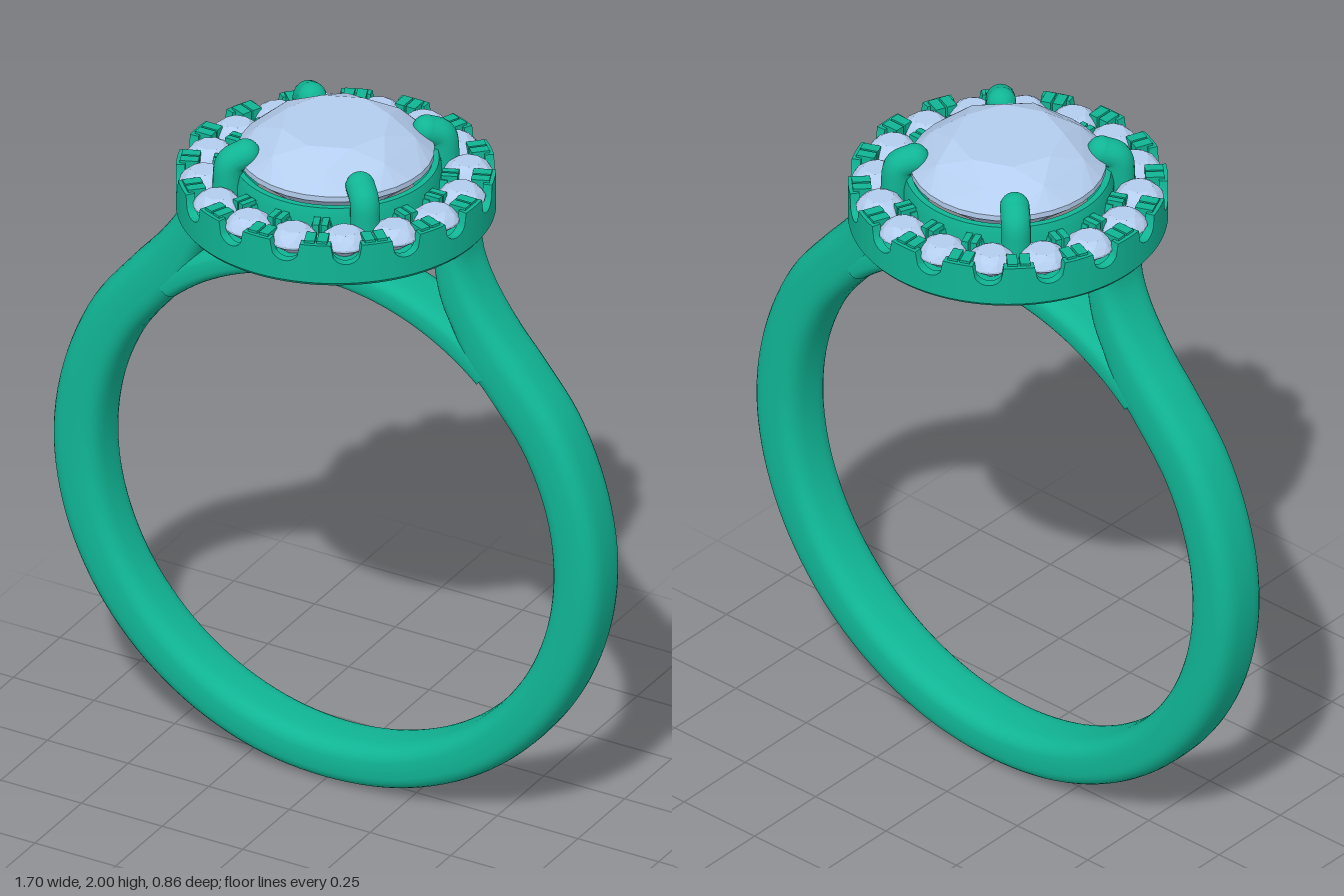
import * as THREE from 'three';
import { toCreasedNormals } from 'three/addons/utils/BufferGeometryUtils.js';
import { ConvexGeometry } from 'three/addons/geometries/ConvexGeometry.js';

const TAU = Math.PI * 2;
const COUNT = 16;                 // halo stones
const STEP = TAU / COUNT;
const CY = 0.83, RI = 0.70;       // finger hole centre height and radius

const metal = new THREE.MeshStandardMaterial({ color: 0x10b595, side: THREE.DoubleSide });
const gem = new THREE.MeshStandardMaterial({ color: 0xb4cdee, flatShading: true });

function add(parent, name, geometry, material = metal) {
  const mesh = new THREE.Mesh(geometry, material);
  mesh.name = name;
  parent.add(mesh);
  return mesh;
}

// Skin a list of equal-length closed cross-sections
function loft(rings, crease) {
  const n = rings[0].length, index = [];
  for (let i = 0; i < rings.length - 1; i++) {
    for (let j = 0; j < n; j++) {
      const k = (j + 1) % n, a = i * n, b = a + n;
      index.push(a + j, b + j, b + k, a + j, b + k, a + k);
    }
  }
  const g = new THREE.BufferGeometry().setFromPoints(rings.flat());
  g.setIndex(index);
  g.computeVertexNormals();
  return crease ? toCreasedNormals(g, crease) : g;
}

// Softly squared section between an inner and an outer edge point
function section(inner, outer, halfWidth, sides = 32) {
  const soft = v => Math.sign(v) * Math.abs(v) ** 0.65;
  return Array.from({ length: sides }, (_, j) => {
    const a = j / sides * TAU, u = 0.5 + 0.5 * soft(Math.cos(a));
    return new THREE.Vector3(
      inner.x + (outer.x - inner.x) * u,
      inner.y + (outer.y - inner.y) * u,
      halfWidth * soft(Math.sin(a)));
  });
}

const polar = (r, deg) => {
  const a = THREE.MathUtils.degToRad(deg);
  return new THREE.Vector3(r * Math.cos(a), CY + r * Math.sin(a), 0);
};

// Band running from one shoulder, round the bottom, to the other shoulder
function shankGeometry() {
  const inner = [], outer = [];
  for (let d = -90; d <= 30; d += 15) {
    inner.push(polar(RI, d));
    outer.push(polar(0.85 - 0.02 * Math.min(1, Math.abs(Math.min(d, 0)) / 90), d));
  }
  outer[outer.length - 1].set(0.733, 1.27, 0);
  const shoulder = [
    [0.495, 1.325, 0.62, 1.42], [0.44, 1.39, 0.555, 1.495], [0.395, 1.49, 0.50, 1.565],
    [0.355, 1.58, 0.457, 1.635], [0.335, 1.68, 0.43, 1.70], [0.33, 1.765, 0.42, 1.765]];
  for (const [ix, iy, ox, oy] of shoulder) {
    inner.push(new THREE.Vector3(ix, iy, 0));
    outer.push(new THREE.Vector3(ox, oy, 0));
  }
  const mirror = p => new THREE.Vector3(-p.x, p.y, 0);
  const whole = half => new THREE.CatmullRomCurve3([...half.slice(1).reverse().map(mirror), ...half]);
  const ci = whole(inner), co = whole(outer), rings = [];
  for (let i = 0; i <= 160; i++) {
    rings.push(section(ci.getPoint(i / 160), co.getPoint(i / 160), 0.085));
  }
  return loft(rings);
}

// Arch closing the finger hole under the head
function bridgeGeometry() {
  const rings = [];
  for (let d = 48; d <= 132; d += 2) rings.push(section(polar(RI, d), polar(0.79, d), 0.083));
  return loft(rings);
}

// Round wall with a scalloped notch in front of every halo stone
function scallopedWall(r0, r1, y0, y1, notch) {
  const rings = [], per = 24;
  for (let i = 0; i <= COUNT * per; i++) {
    const a = i / per * STEP;
    const d = ((i % per) / per - 0.5) * STEP * r1;
    const top = Math.abs(d) < notch ? y1 - 0.015 - Math.sqrt(notch * notch - d * d) : y1;
    rings.push([[r1 - 0.008, y0], [r1, y0 + 0.01], [r1, top], [r0, top], [r0, y0]].map(
      ([r, y]) => new THREE.Vector3(r * Math.cos(a), y, -r * Math.sin(a))));
  }
  return loft(rings, 0.6);
}

function latheRing(profile) {
  const pts = [...profile, profile[0]].map(p => new THREE.Vector2(...p));
  return toCreasedNormals(new THREE.LatheGeometry(pts, 96), 0.6);
}

// Faceted stone: levels of [radius, height, corners, turn in half steps]
function stoneGeometry(levels) {
  const pts = [];
  for (const [r, y, n, turn] of levels) {
    for (let i = 0; i < n; i++) {
      const a = (i + turn / 2) / n * TAU;
      pts.push(new THREE.Vector3(r * Math.cos(a), y, r * Math.sin(a)));
    }
  }
  return new ConvexGeometry(pts);
}

export function createModel() {
  const model = new THREE.Group();
  model.name = 'ring';
  add(model, 'shank', shankGeometry());
  add(model, 'bridge', bridgeGeometry());

  // Halo setting
  const halo = new THREE.Group();
  halo.name = 'halo';
  model.add(halo);
  add(halo, 'haloFloor', latheRing([[0.30, 1.742], [0.415, 1.742], [0.415, 1.80], [0.30, 1.80]]));
  add(halo, 'outerWall', scallopedWall(0.405, 0.43, 1.735, 1.86, 0.042));
  add(halo, 'innerWall', scallopedWall(0.285, 0.305, 1.742, 1.855, 0.03));

  const smallStone = stoneGeometry([
    [0.036, 1.868, 8, 0], [0.055, 1.855, 8, 1], [0.066, 1.838, 16, 0], [0.066, 1.832, 16, 0], [0.02, 1.795, 8, 0]]);
  for (let i = 0; i < COUNT; i++) {
    const spoke = new THREE.Group();
    spoke.name = 'haloSetting';
    spoke.rotation.y = i * STEP;
    halo.add(spoke);

    const seat = new THREE.Group();
    seat.rotation.y = STEP / 2;
    spoke.add(seat);
    add(seat, 'haloStone', smallStone, gem).position.x = 0.355;

    // Paired lugs between neighbouring stones
    for (const side of [-1, 1]) {
      add(spoke, 'outerLug', new THREE.BoxGeometry(0.05, 0.07, 0.028)).position.set(0.394, 1.832, side * 0.017);
      add(spoke, 'innerLug', new THREE.BoxGeometry(0.045, 0.07, 0.018)).position.set(0.309, 1.832, side * 0.012);
    }
  }

  // Centre stone in its collar
  add(model, 'collar', latheRing([
    [0.215, 1.775], [0.255, 1.755], [0.285, 1.77], [0.285, 1.86], [0.277, 1.89], [0.26, 1.89]]));
  add(model, 'centreStone', stoneGeometry([
    [0.15, 2.0, 8, 0], [0.215, 1.968, 8, 1], [0.265, 1.918, 32, 0], [0.265, 1.902, 32, 0],
    [0.07, 1.738, 16, 0], [0, 1.68, 1, 0]]), gem);

  // Four claws bent over the stone
  const clawPath = new THREE.CatmullRomCurve3([[0.30, 1.76], [0.302, 1.86], [0.293, 1.92], [0.252, 1.94]]
    .map(([x, y]) => new THREE.Vector3(x, y, 0)));
  for (let i = 0; i < 4; i++) {
    const claw = new THREE.Group();
    claw.name = 'claw';
    claw.rotation.y = (i + 0.5) * TAU / 4;
    model.add(claw);
    add(claw, 'clawStem', new THREE.TubeGeometry(clawPath, 24, 0.04, 16));
    add(claw, 'clawTip', new THREE.SphereGeometry(0.04, 20, 14)).position.set(0.252, 1.94, 0);
  }
  return model;
}
